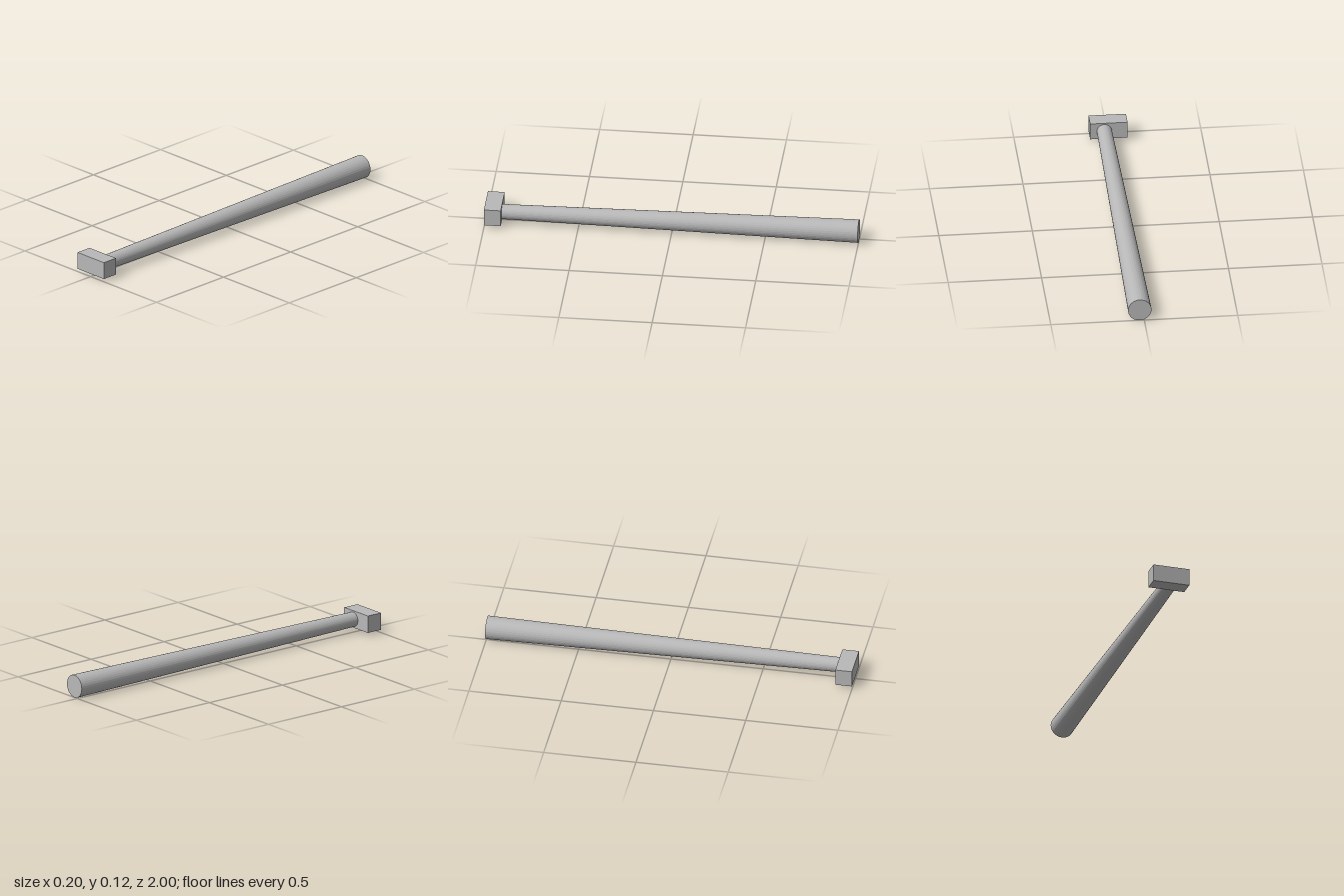
import * as THREE from 'three';

export function createModel() {
  const model = new THREE.Group();
  const grey = new THREE.MeshStandardMaterial({ color: 0xb8b8b8, flatShading: true });
  grey.name = 'grey';

  const add = (name, geometry, x, y, z) => {
    const mesh = new THREE.Mesh(geometry, grey);
    mesh.name = name;
    mesh.position.set(x, y, z);
    model.add(mesh);
  };

  // Rectangular block at the front end
  add('endBlock', new THREE.BoxGeometry(0.2, 0.094, 0.09), 0, 0.064, 0.955);

  // Round shaft, wide at the back and narrow at the block, slightly off centre
  const shaft = new THREE.CylinderGeometry(0.04, 0.0625, 1.91, 32).rotateX(Math.PI / 2);
  add('taperedShaft', shaft, 0.024, 0.0635, -0.045);

  return model;
}
